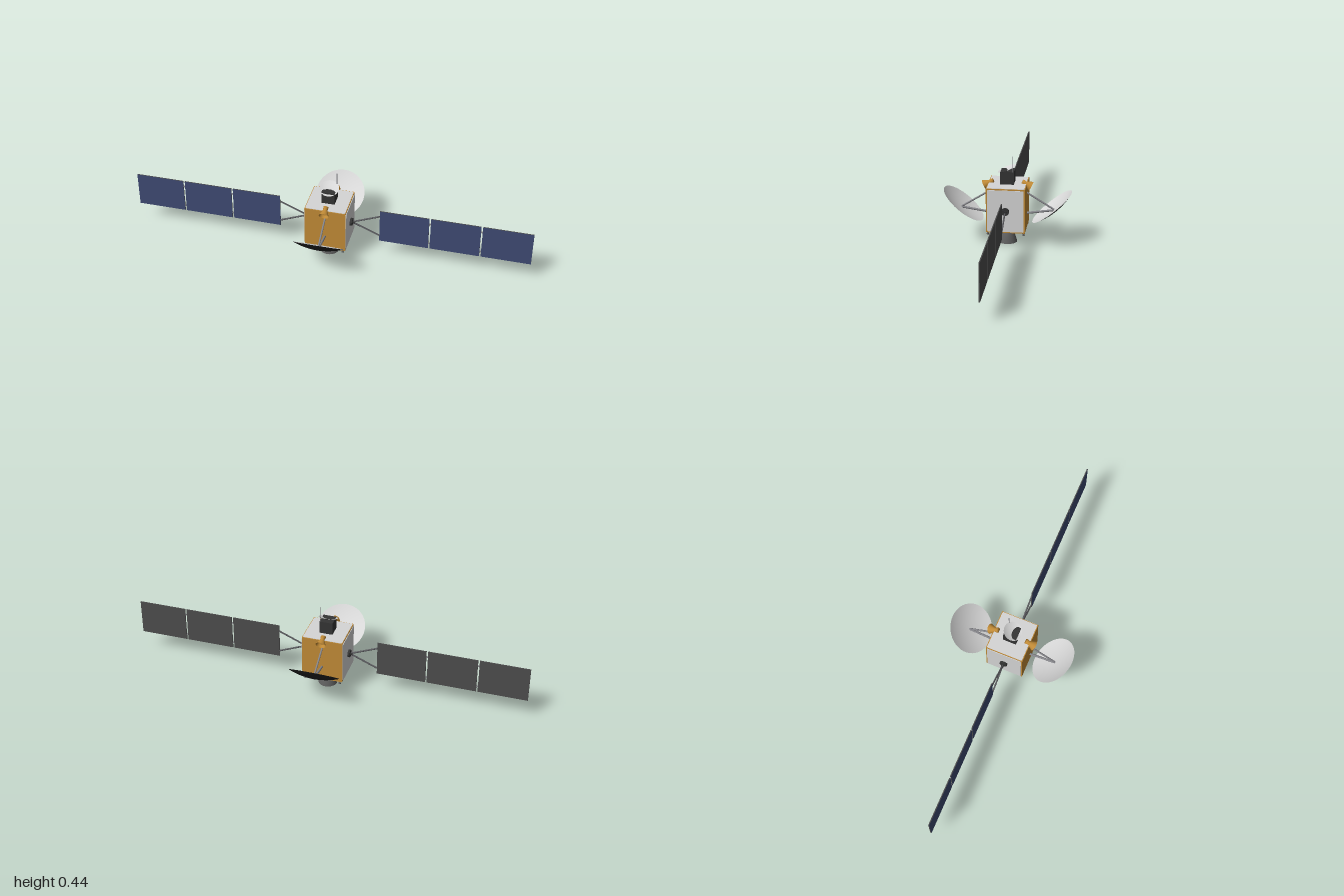
import * as THREE from 'three';

const mat = (name, color, side = THREE.FrontSide) => {
  const m = new THREE.MeshStandardMaterial({ color, side });
  m.name = name;
  return m;
};

export function createModel() {
  const gold = mat('gold foil', 0xc08a36, THREE.DoubleSide);
  const white = mat('light panel', 0xd6d6d6);
  const black = mat('black', 0x222222);
  const charcoal = mat('charcoal', 0x343434);
  const grey = mat('engine grey', 0x5c5c5c, THREE.DoubleSide);
  const steel = mat('steel', 0x85858a);
  const armGrey = mat('arm grey', 0x58585c);
  const blue = mat('solar blue', 0x3e4a72);
  const panelBack = mat('panel back', 0x4c4c4c);

  const model = new THREE.Group();
  model.name = 'satellite';

  const add = (parent, name, geo, material, x = 0, y = 0, z = 0) => {
    const m = new THREE.Mesh(geo, material);
    m.name = name;
    m.position.set(x, y, z);
    parent.add(m);
    return m;
  };
  const box = (w, h, d) => new THREE.BoxGeometry(w, h, d);
  const lathe = (pts, seg = 32) =>
    new THREE.LatheGeometry(pts.map(([r, y]) => new THREE.Vector2(r, y)), seg);

  // Straight round rod between two points
  const rod = (parent, name, a, b, r, material) => {
    const A = new THREE.Vector3(...a), B = new THREE.Vector3(...b);
    const d = B.clone().sub(A);
    const m = add(parent, name, new THREE.CylinderGeometry(r, r, d.length(), 12), material);
    m.position.copy(A).add(B).multiplyScalar(0.5);
    m.quaternion.setFromUnitVectors(new THREE.Vector3(0, 1, 0), d.normalize());
    return m;
  };

  // Shallow parabolic bowl opening along +y, with its vertex at the origin
  const dish = (name, R, sag, thick, outerMat) => {
    const g = new THREE.Group();
    g.name = name;
    const curve = (bottom) => Array.from({ length: 13 }, (_, i) => {
      const t = i / 12;
      return [Math.max(R * t, 1e-5), bottom + (sag - bottom) * t * t];
    });
    add(g, name + 'Outside', lathe(curve(-thick), 48), outerMat);
    add(g, name + 'Inside', lathe(curve(0).reverse(), 48), white);
    return g;
  };

  // Rounded rectangle plate, extruded along +z
  const plate = (w, h, r, depth) => {
    const s = new THREE.Shape(), x = w / 2, y = h / 2;
    s.moveTo(-x + r, -y);
    s.lineTo(x - r, -y).quadraticCurveTo(x, -y, x, -y + r);
    s.lineTo(x, y - r).quadraticCurveTo(x, y, x - r, y);
    s.lineTo(-x + r, y).quadraticCurveTo(-x, y, -x, y - r);
    s.lineTo(-x, -y + r).quadraticCurveTo(-x, -y, -x + r, -y);
    return new THREE.ExtrudeGeometry(s, { depth, bevelEnabled: false, curveSegments: 6 });
  };

  // Body with light plates on top and both sides
  add(model, 'body', box(0.204, 0.223, 0.19), gold, 0, 0.19, 0);
  const top = add(model, 'topPlate', plate(0.198, 0.182, 0.006, 0.003), white, 0, 0.3005, 0);
  top.rotation.x = -Math.PI / 2;
  for (const s of [1, -1]) {
    const side = add(model, 'sidePlate', plate(0.178, 0.211, 0.007, 0.004), white, s * 0.101, 0.19, 0);
    side.rotation.y = s * Math.PI / 2;
  }

  // Main engine
  add(model, 'engineNozzle', lathe([
    [0.047, 0], [0.042, 0.016], [0.035, 0.036], [0.026, 0.052],
    [0.017, 0.062], [0.012, 0.066], [0.02, 0.08],
  ]), grey);

  // Corner thrusters
  for (const sx of [1, -1]) for (const sz of [1, -1]) {
    const t = add(model, 'thruster', new THREE.CylinderGeometry(0.003, 0.0065, 0.018, 12),
      grey, sx * 0.088, 0.072, sz * 0.086);
    t.rotation.x = -sz * 0.3;
  }

  // Dish, struts and feed horn, repeated on front and back
  for (const turn of [0, Math.PI]) {
    const g = new THREE.Group();
    g.name = turn ? 'backAntenna' : 'frontAntenna';
    g.rotation.y = turn;
    model.add(g);
    const d = dish('mainDish', 0.1235, 0.021, 0.003, black);
    d.position.set(0, 0.172, 0.231);
    d.rotation.x = -0.674;
    g.add(d);
    rod(g, 'upperStrut', [0, 0.257, 0.092], [0, 0.173, 0.228], 0.0045, steel);
    rod(g, 'lowerStrut', [0, 0.15, 0.092], [0, 0.17, 0.228], 0.0055, steel);
    const horn = add(g, 'feedHorn', lathe([
      [0.025, 0], [0.0105, 0.032], [0.013, 0.049], [0.00001, 0.049],
    ], 24), gold, 0, 0.288, 0.115);
    horn.rotation.x = -1.098;
  }

  // Equipment box, small tilted dish and whip aerial
  add(model, 'equipmentBox', box(0.066, 0.068, 0.066), charcoal, 0, 0.333, 0);
  const small = dish('topDish', 0.047, 0.009, 0.001, panelBack);
  small.position.set(0, 0.367, 0.001);
  small.rotation.x = 0.37;
  model.add(small);
  rod(model, 'whipAerial', [0.03, 0.36, -0.028], [0.03, 0.445, -0.028], 0.002, steel);

  // Solar wings
  for (const s of [1, -1]) {
    const wing = new THREE.Group();
    wing.name = s > 0 ? 'leftWing' : 'rightWing';
    model.add(wing);
    const hub = add(wing, 'wingHub', new THREE.CylinderGeometry(0.019, 0.019, 0.013, 24),
      charcoal, s * 0.1095, 0.19, 0);
    hub.rotation.z = Math.PI / 2;
    rod(wing, 'wingShaft', [s * 0.11, 0.19, 0], [s * 0.127, 0.19, 0], 0.007, charcoal);
    for (const k of [1, -1]) {
      rod(wing, 'wingArm', [s * 0.118, 0.19 + k * 0.002, 0], [s * 0.252, 0.19 + k * 0.058, 0], 0.004, armGrey);
    }
    for (let i = 0; i < 3; i++) {
      const x = s * (0.373 + i * 0.251);
      add(wing, 'solarPanel', box(0.243, 0.178, 0.005),
        [panelBack, panelBack, panelBack, panelBack, blue, panelBack], x, 0.191, 0);
      // Hinges to the next panel
      if (i < 2) for (const k of [1, -1]) {
        add(wing, 'hinge', box(0.014, 0.008, 0.004), steel, x + s * 0.1255, 0.19 + k * 0.058, 0);
      }
    }
  }
  return model;
}
